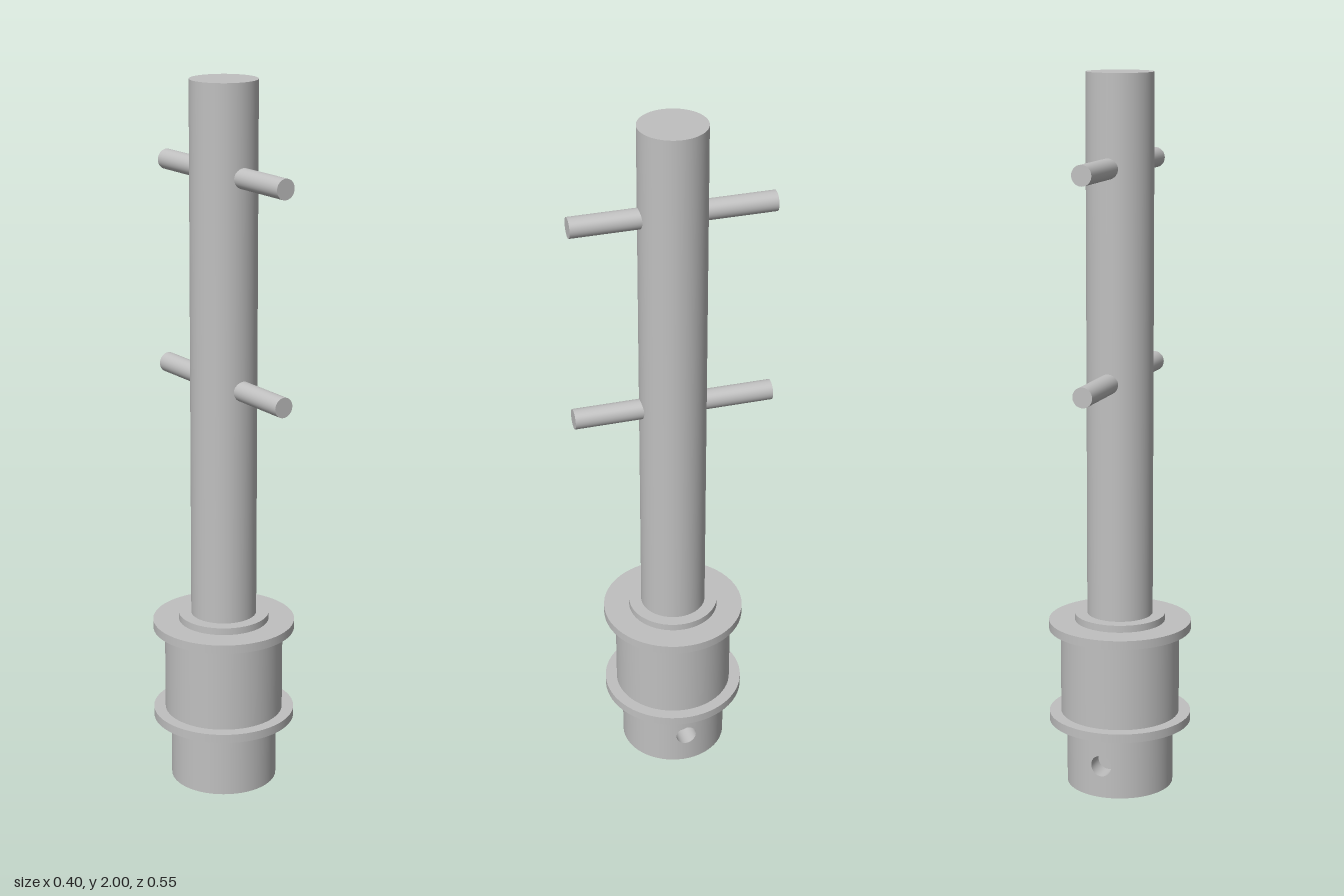
import * as THREE from 'three';

const SEG = 64;
const HUB_R = 0.15, HUB_H = 0.185, SHAFT_R = 0.092, HOLE_R = 0.03;
const HALF = HUB_H / 2; // half size of the wall patch around a screw hole
const PATCH = HALF / HUB_R; // its half angle

// Surface through closed rings of points, given from the inside outwards
function ringSurface(rows, cols, point) {
  const pos = [], index = [];
  for (let i = 0; i <= rows; i++)
    for (let j = 0; j < cols; j++) pos.push(...point(i / rows, (j / cols) * Math.PI * 2));
  for (let i = 0; i < rows; i++)
    for (let j = 0; j < cols; j++) {
      const a = i * cols + j, b = i * cols + (j + 1) % cols, c = a + cols, d = b + cols;
      index.push(a, c, d, a, d, b);
    }
  const g = new THREE.BufferGeometry();
  g.setAttribute('position', new THREE.Float32BufferAttribute(pos, 3));
  g.setIndex(index);
  g.computeVertexNormals();
  return g;
}

// Wraps a flat point onto the hub wall, facing +z
const wrap = (u, v) => [HUB_R * Math.sin(u / HUB_R), HALF + v, HUB_R * Math.cos(u / HUB_R)];

export function createModel() {
  const model = new THREE.Group();
  const steel = new THREE.MeshStandardMaterial({ color: 0xc0c0c0 });
  steel.name = 'steel grey';

  const add = (name, geometry, parent = model) => {
    const mesh = new THREE.Mesh(geometry, steel);
    mesh.name = name;
    parent.add(mesh);
    return mesh;
  };
  const disc = (name, r, y0, y1) => {
    add(name, new THREE.CylinderGeometry(r, r, y1 - y0, SEG)).position.y = (y0 + y1) / 2;
  };

  // Turned body, bottom to top
  disc('lowerFlange', 0.2, HUB_H, 0.21);
  disc('drum', 0.167, 0.21, 0.455);
  disc('upperFlange', 0.2, 0.455, 0.48);
  disc('collar', 0.127, 0.48, 0.5);
  disc('shaft', SHAFT_R, 0.5, 2);

  // Cross pins, one stub on each side of the shaft
  for (const y of [1.17, 1.75])
    for (const side of [1, -1]) {
      const pin = add('crossPin', new THREE.CylinderGeometry(0.028, 0.028, 0.197, 32));
      pin.rotation.x = Math.PI / 2;
      pin.position.set(0, y, side * 0.1785);
    }

  // Hub: plain wall between the two screw holes, and its underside
  const hub = new THREE.Group();
  hub.name = 'hub';
  model.add(hub);
  for (const [start, length, n] of [
    [Math.PI / 2 + PATCH, Math.PI / 2 - 2 * PATCH, 6],
    [Math.PI + PATCH, Math.PI * 1.5 - 2 * PATCH, 40],
  ]) {
    const wall = new THREE.CylinderGeometry(HUB_R, HUB_R, HUB_H, n, 1, true, start, length);
    add('hubWall', wall, hub).position.y = HALF;
  }
  add('hubUnderside', new THREE.CircleGeometry(HUB_R, SEG), hub).rotation.x = Math.PI / 2;

  // Screw holes at the left side and the back
  for (const angle of [Math.PI / 2, Math.PI]) {
    const hole = new THREE.Group();
    hole.name = 'screwHole';
    hole.rotation.y = angle;
    hub.add(hole);

    // wall patch running from the round hole to a square edge
    const patch = ringSurface(8, 48, (t, a) => {
      const c = Math.cos(a), s = Math.sin(a);
      const edge = HALF / Math.max(Math.abs(c), Math.abs(s));
      const r = HOLE_R + (edge - HOLE_R) * t;
      return wrap(r * c, r * s);
    });
    const p = patch.attributes.position;
    for (let i = 0; i < p.count; i++)
      patch.attributes.normal.setXYZ(i, p.getX(i) / HUB_R, 0, p.getZ(i) / HUB_R);
    add('holeSurround', patch, hole);

    // bore down to the shaft
    add('holeBore', ringSurface(1, 48, (t, a) => {
      const [x, y, z] = wrap(HOLE_R * Math.cos(a), HOLE_R * Math.sin(a));
      return [x, y, t ? z : SHAFT_R];
    }), hole);
    add('holeFloor', new THREE.CircleGeometry(HOLE_R, 48), hole).position.set(0, HALF, SHAFT_R);
  }

  return model;
}
